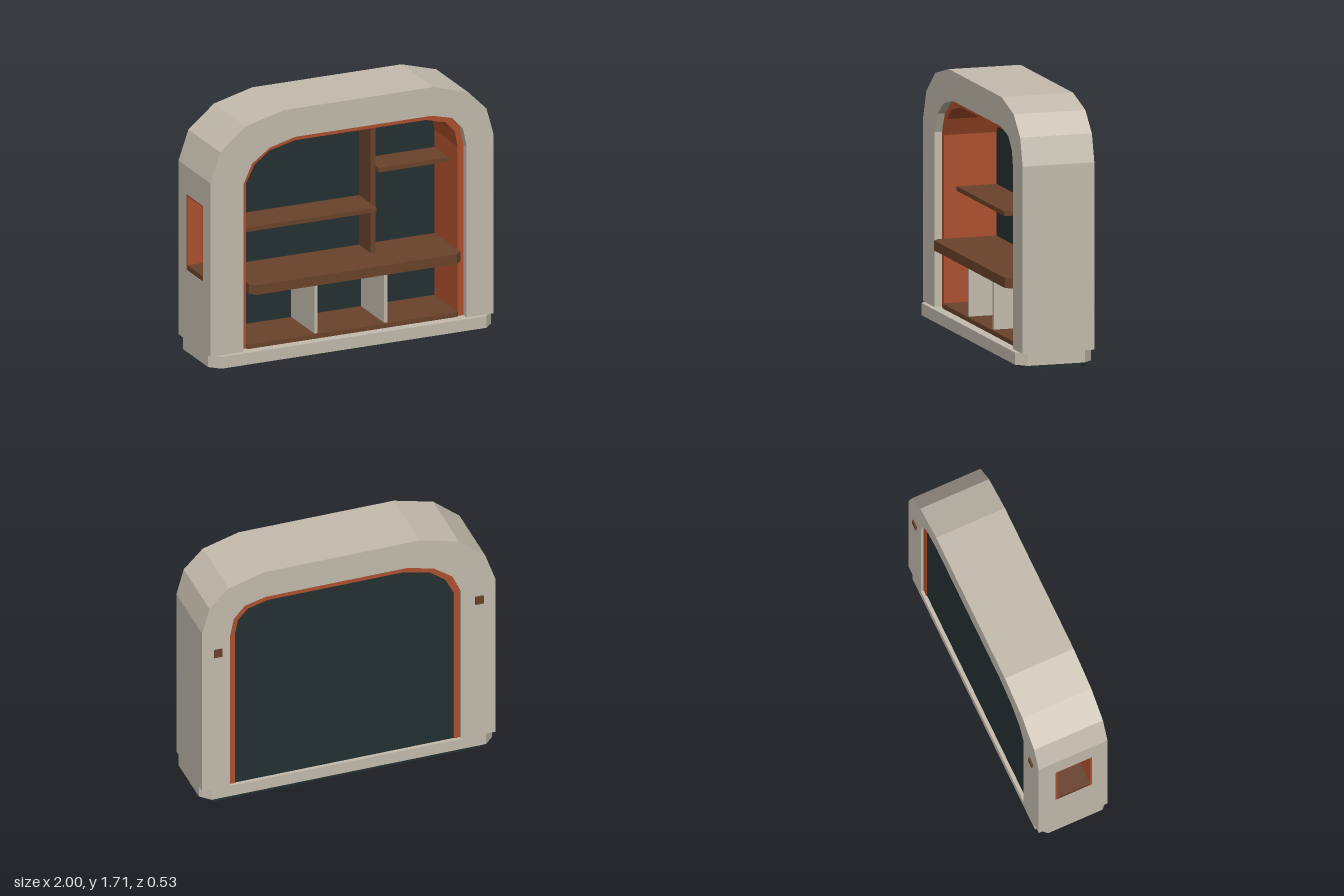
import * as THREE from 'three';

export function createModel() {
  const root = new THREE.Group();
  root.name = 'archedShelfUnit';

  const material = (name, color) => {
    const m = new THREE.MeshStandardMaterial({ color });
    m.name = name;
    return m;
  };
  const stone = material('warm grey', 0xc3bbad);
  const orange = material('burnt orange', 0xad502d);
  const wood = material('brown wood', 0x6a422a);
  const dark = material('dark slate', 0x243031);

  const add = (name, geometry, mat) => {
    const mesh = new THREE.Mesh(geometry, mat);
    mesh.name = name;
    root.add(mesh);
    return mesh;
  };
  const box = (name, mat, x0, x1, y0, y1, z0, z1) =>
    add(name, new THREE.BoxGeometry(x1 - x0, y1 - y0, z1 - z0)
      .translate((x0 + x1) / 2, (y0 + y1) / 2, (z0 + z1) / 2), mat);
  const shapeOf = (points) => new THREE.Shape(points.map(([x, y]) => new THREE.Vector2(x, y)));

  // Outline in x and y, extruded from z0 to z1
  const upright = (name, mat, points, z0, z1) =>
    add(name, new THREE.ExtrudeGeometry(shapeOf(points), { depth: z1 - z0, bevelEnabled: false })
      .translate(0, 0, z0), mat);

  // Horizontal slab with cut corners at the front (cf) and back (cb)
  const slab = (name, mat, x0, x1, y0, y1, z0, z1, cf, cb) => {
    const points = [[x0 + cf, -z1], [x1 - cf, -z1], [x1, -z1 + cf]];
    if (cb > 0) points.push([x1, -z0 - cb], [x1 - cb, -z0], [x0 + cb, -z0], [x0, -z0 - cb]);
    else points.push([x1, -z0], [x0, -z0]);
    points.push([x0, -z1 + cf]);
    add(name, new THREE.ExtrudeGeometry(shapeOf(points), { depth: y1 - y0, bevelEnabled: false })
      .rotateX(-Math.PI / 2).translate(0, y0, 0), mat);
  };

  // Arch outlines, running from the bottom at -x over the top to +x
  const outer = [[-1, 0.11], [-1, 1.29], [-0.93, 1.49], [-0.75, 1.64], [-0.48, 1.71],
    [0.575, 1.71], [0.82, 1.64], [0.95, 1.51], [1, 1.33], [1, 0.11]];
  const opening = [[-0.765, 0.11], [-0.765, 1.25], [-0.705, 1.38], [-0.58, 1.47], [-0.4, 1.517],
    [0.565, 1.517], [0.71, 1.48], [0.785, 1.395], [0.81, 1.27], [0.81, 0.11]];
  const interior = [[-0.723, 0.11], [-0.723, 1.235], [-0.665, 1.35], [-0.56, 1.432], [-0.38, 1.475],
    [0.545, 1.475], [0.68, 1.44], [0.75, 1.365], [0.77, 1.26], [0.77, 0.11]];
  const ring = (a, b) => [...a, ...b.slice().reverse()];

  // Body in three layers; the middle one is notched for the side niche
  const niche = { x: -0.83, y0: 0.585, y1: 1.1, z0: -0.13, z1: 0.125 };
  const notched = [outer[0], [-1, niche.y0], [niche.x, niche.y0], [niche.x, niche.y1],
    [-1, niche.y1], ...outer.slice(1)];
  upright('bodyBack', stone, ring(outer, opening), -0.25, niche.z0);
  upright('bodyMiddle', stone, ring(notched, opening), niche.z0, niche.z1);
  upright('bodyFront', stone, ring(outer, opening), niche.z1, 0.235);

  // Base and recessed plinth
  slab('base', stone, -1, 1, 0.03, 0.11, -0.25, 0.265, 0.065, 0.065);
  slab('plinth', dark, -0.97, 0.97, 0, 0.03, -0.23, 0.205, 0.06, 0.06);

  // Lining and back panel
  upright('lining', orange, ring(opening, interior), -0.23, 0.185);
  upright('backPanel', dark, interior, -0.225, -0.17);

  // Counter, floor and shelves
  const back = -0.17;
  slab('counter', wood, -0.723, 0.77, 0.495, 0.56, back, 0.265, 0.04, 0);
  slab('floorBoard', wood, -0.723, 0.77, 0.11, 0.14, back, 0.2, 0.012, 0);
  box('upperDivider', wood, 0.237, 0.273, 0.56, 1.475, back, 0.005);
  box('wideShelf', wood, -0.723, 0.237, 0.868, 0.897, back, 0.1);
  box('narrowShelf', wood, 0.273, 0.77, 1.115, 1.145, back, 0.05);
  for (const x of [-0.23, 0.262]) {
    box('lowerDivider', stone, x - 0.011, x + 0.011, 0.14, 0.495, back, 0.185);
  }

  // Side niche: lining, floor and dark back
  const { x: nx, y0, y1, z0, z1 } = niche;
  const t = 0.012;
  box('nicheBack', dark, nx, nx + 0.008, y0, y1, z0, z1);
  box('nicheTop', orange, -0.998, nx, y1 - t, y1, z0, z1);
  box('nicheSideBack', orange, -0.998, nx, y0, y1 - t, z0, z0 + t);
  box('nicheSideFront', orange, -0.998, nx, y0, y1 - t, z1 - t, z1);
  box('nicheFloor', wood, -0.998, nx, y0, y0 + 0.035, z0 + t, z1 - t);

  // Wall mounts on the back
  for (const x of [-0.888, 0.894]) {
    box('wallMount', wood, x - 0.027, x + 0.027, 1.13, 1.187, -0.262, -0.25);
  }

  return root;
}
